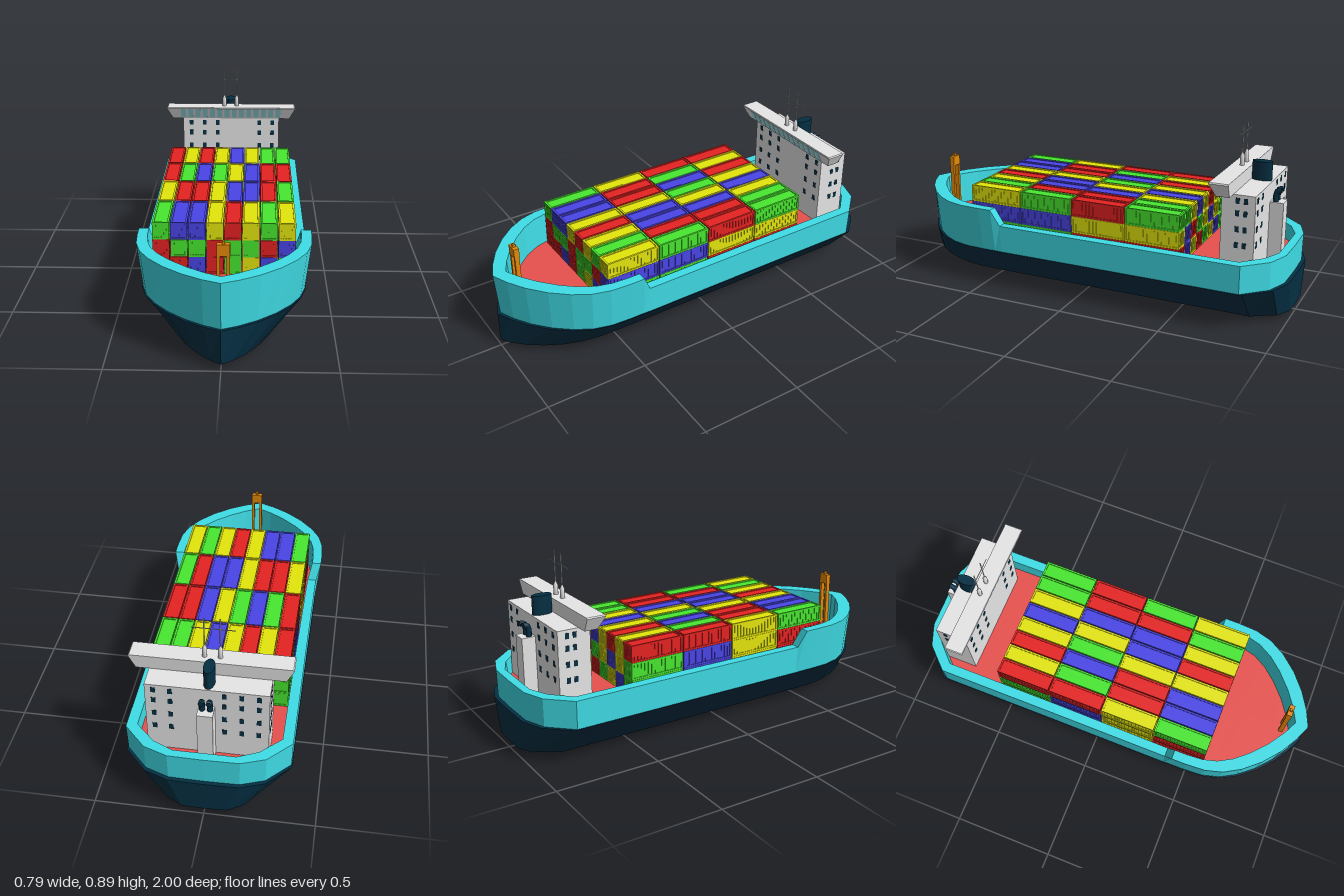
import * as THREE from 'three';
import { mergeGeometries } from 'three/addons/utils/BufferGeometryUtils.js';

const mat = (name, color) => {
  const m = new THREE.MeshStandardMaterial({ color });
  m.name = name;
  return m;
};

// box geometry from its limits
function box(x0, x1, y0, y1, z0, z1) {
  return new THREE.BoxGeometry(x1 - x0, y1 - y0, z1 - z0)
    .translate((x0 + x1) / 2, (y0 + y1) / 2, (z0 + z1) / 2);
}

// faceted skin through closed rings of equal length
function loft(rings) {
  const p = [];
  for (let k = 0; k + 1 < rings.length; k++) {
    const a = rings[k], b = rings[k + 1], n = a.length;
    for (let i = 0; i < n; i++) {
      const j = (i + 1) % n;
      p.push(...a[i], ...a[j], ...b[j], ...a[i], ...b[j], ...b[i]);
    }
  }
  const g = new THREE.BufferGeometry();
  g.setAttribute('position', new THREE.Float32BufferAttribute(p, 3));
  g.computeVertexNormals();
  return g;
}

// full ring from half outline points [x, y, z], bow to stern
const mirrorRing = (half) => [
  ...half,
  ...half.slice(1, -1).reverse().map(([x, y, z]) => [-x, y, z]),
];

// container wall facing +z: raised rim, recessed panel, upright ribs
function panel(w, h, z, ribs) {
  const t = 0.009, d = 0.004;
  const rect = (x, y, c) => [[-x, -y, c], [x, -y, c], [x, y, c], [-x, y, c]];
  const X = w / 2 - t, Y = h / 2 - t;
  const parts = [loft([rect(w / 2, h / 2, z), rect(X, Y, z), rect(X, Y, z - d), rect(0, 0, z - d)])];
  for (let i = 0; i < ribs; i++) {
    const x = ((i + 0.5) / ribs - 0.5) * 2 * X, r = X / ribs * 0.45;
    const rib = box(x - r, x + r, -Y, Y, z - d, z - d + 0.002).toNonIndexed();
    rib.deleteAttribute('uv');
    parts.push(rib);
  }
  return mergeGeometries(parts);
}

function containerGeometry(w, h, l) {
  const parts = [];
  for (const s of [0, Math.PI]) {
    parts.push(panel(w, h, l / 2, 5).rotateY(s));
    parts.push(panel(l, h, w / 2, 14).rotateY(s + Math.PI / 2));
    parts.push(panel(w, l, h / 2, 0).rotateX(s - Math.PI / 2));
  }
  return mergeGeometries(parts);
}

export function createModel() {
  const ship = new THREE.Group();
  ship.name = 'containerShip';
  const teal = mat('hull teal', 0x41e2ec);
  const navy = mat('dark navy', 0x042f43);
  const deckRed = mat('deck red', 0xee5450);
  const grey = mat('superstructure grey', 0xe6e6e6);
  const glass = mat('bridge glass', 0x98e4ec);
  const orange = mat('mast orange', 0xe68b08);
  const cargo = {
    R: mat('container red', 0xe62222),
    Y: mat('container yellow', 0xe4e60c),
    G: mat('container green', 0x49ea30),
    B: mat('container blue', 0x4a45e8),
  };
  const add = (name, geo, material, parent = ship) => {
    const m = new THREE.Mesh(geo, material);
    m.name = name;
    parent.add(m);
    return m;
  };

  // hull outlines [x, z], bow to stern
  const outer = [[0, 1], [0.08, 0.966], [0.165, 0.915], [0.25, 0.845], [0.32, 0.765],
    [0.367, 0.685], [0.391, 0.6], [0.397, 0.5], [0.397, 0.43], [0.377, 0.39], [0.375, -0.2],
    [0.375, -0.83], [0.27, -0.94], [0.16, -0.98], [0, -0.983]];
  const inner = [[0, 0.935], [0.07, 0.9], [0.148, 0.847], [0.226, 0.778], [0.285, 0.71],
    [0.325, 0.64], [0.344, 0.57], [0.35, 0.49], [0.35, 0.43], [0.332, 0.39], [0.326, -0.2],
    [0.326, -0.81], [0.235, -0.9], [0.14, -0.943], [0, -0.943]];
  const DECK = 0.248;
  const rimY = (i) => (i < 9 ? 0.408 : 0.325);
  const taper = (x, z) => (z > 0.395 ? x * 0.945 : x);
  const ring = (pts, f) => mirrorRing(pts.map(([x, z], i) => f(x, z, i)));
  const rim = ring(outer, (x, z, i) => [x, rimY(i), z]);
  const tealFoot = ring(outer, (x, z) => [taper(x, z) * 0.99, 0.19, z > 0 ? z * 0.985 : z * 0.998]);
  const waterline = ring(outer, (x, z) => [taper(x, z), 0.19, z > 0 ? z : z * 1.017]);
  const bilge = ring(outer, (x, z) => [taper(x, z) * 0.64, 0.032, z > 0 ? z : z * 1.017]);
  const keel = ring(outer, (x, z) => [taper(x, z) * 0.37, 0, z * 0.6]);
  const keelLine = ring(outer, (x, z) => [0, 0, z * 0.6]);
  const innerRim = ring(inner, (x, z, i) => [x, rimY(i), z]);
  const deckEdge = ring(inner, (x, z) => [x * 0.99, DECK, z * 0.99]);
  const deckLine = ring(inner, (x, z) => [0, DECK, z * 0.99]);
  add('keel', loft([keelLine, keel, bilge]), teal);
  add('lowerHull', loft([bilge, waterline, tealFoot]), navy);
  add('upperHull', loft([tealFoot, rim, innerRim, deckEdge]), teal);
  add('deck', loft([deckEdge, deckLine]), deckRed);

  // container stacks: tiers upward, rows stern to bow, columns from -x to +x
  const tiers = [
    ['GBYGRYBR', 'BGYRGBYR', 'YRGBYRBG', 'RRBRGYBG'],
    ['GYBYGRBY', 'BYGRBGRY', 'YGRBRYGB', 'RGGRGGRB'],
    ['RYRYBYGG', 'RGBGYBRR', 'YRRYBBRG', 'GBBYRYGY'],
  ];
  const cGeo = containerGeometry(0.076, 0.082, 0.271);
  const stacks = new THREE.Group();
  stacks.name = 'containers';
  ship.add(stacks);
  tiers.forEach((rows, t) => rows.forEach((row, r) => [...row].forEach((c, k) => {
    add('container', cGeo, cargo[c], stacks)
      .position.set((k - 3.5) * 0.0808, DECK + 0.042 + t * 0.083, -0.388 + r * 0.2765);
  })));

  // accommodation block and rear casing
  const house = new THREE.Group();
  house.name = 'superstructure';
  ship.add(house);
  add('accommodationBlock', box(-0.27, 0.27, DECK, 0.616, -0.857, -0.7), grey, house);
  add('exhaustCasing', box(-0.035, 0.035, DECK, 0.525, -0.922, -0.85), grey, house);

  // bridge, wider at the top, with sloped front and ends
  const rect = (x, y, zf, zb) => [[x, y, zf], [x, y, zb], [-x, y, zb], [-x, y, zf]];
  const flat = (y) => rect(0, y, -0.71, -0.71);
  add('bridge', loft([flat(0.615), rect(0.328, 0.615, -0.692, -0.755),
    rect(0.36, 0.678, -0.665, -0.757), rect(0.355, 0.683, -0.667, -0.757), flat(0.683)]), grey, house);
  for (let i = 0; i < 14; i++) {
    const w = add('bridgeWindow', new THREE.BoxGeometry(0.027, 0.058, 0.003), glass, house);
    w.position.set(-0.268 + i * 0.0409, 0.649, -0.6775);
    w.rotation.x = Math.atan2(0.027, 0.063);
  }

  // cabin windows on all four walls
  for (const y of [0.588, 0.53, 0.455, 0.38]) {
    for (const x of [-0.225, -0.15, -0.075, 0.16, 0.233]) {
      for (const z of [-0.7, -0.857]) {
        add('cabinWindow', new THREE.BoxGeometry(0.02, 0.027, 0.003), navy, house).position.set(x, y, z);
      }
    }
    for (const x of [-0.27, 0.27]) for (const z of [-0.775, -0.812]) {
      add('sideWindow', new THREE.BoxGeometry(0.003, 0.027, 0.018), navy, house).position.set(x, y, z);
    }
  }

  // oval funnel and bent exhaust pipes
  const funnel = add('funnel', new THREE.CylinderGeometry(0.048, 0.048, 0.095, 24), navy, house);
  funnel.scale.x = 0.52;
  funnel.position.set(-0.004, 0.658, -0.804);
  for (const x of [-0.017, 0.017]) {
    const bend = new THREE.CatmullRomCurve3([[0.52, -0.88], [0.555, -0.88], [0.575, -0.886], [0.58, -0.907]]
      .map(([y, z]) => new THREE.Vector3(x, y, z)));
    add('exhaustPipe', new THREE.TubeGeometry(bend, 10, 0.013, 10), navy, house);
    add('exhaustEnd', new THREE.CircleGeometry(0.013, 10).rotateY(Math.PI), navy, house)
      .position.set(x, 0.58, -0.907);
  }

  // twin antenna masts with a crossbar
  const mastProfile = [[0, 0], [0.011, 0], [0.011, 0.045], [0.004, 0.062], [0.0028, 0.064], [0.0028, 0.21], [0, 0.21]]
    .map(([r, y]) => new THREE.Vector2(r, y));
  for (const x of [-0.038, 0.031]) {
    add('antennaMast', new THREE.LatheGeometry(mastProfile, 12), grey, house).position.set(x, 0.681, -0.716);
  }
  add('antennaCrossbar', box(-0.105, 0.085, 0.8335, 0.8365, -0.7175, -0.7145), grey, house);

  // bow gantry
  const gantry = new THREE.Group();
  gantry.name = 'bowGantry';
  ship.add(gantry);
  for (const x of [-0.02, 0.022]) {
    add('gantryLeg', box(x, x + 0.014, DECK, 0.49, 0.876, 0.898), orange, gantry);
  }
  add('gantryHead', box(-0.02, 0.036, 0.483, 0.533, 0.874, 0.9), orange, gantry);
  add('gantryLamp', box(0.002, 0.014, 0.533, 0.547, 0.88, 0.894), orange, gantry);
  return ship;
}
